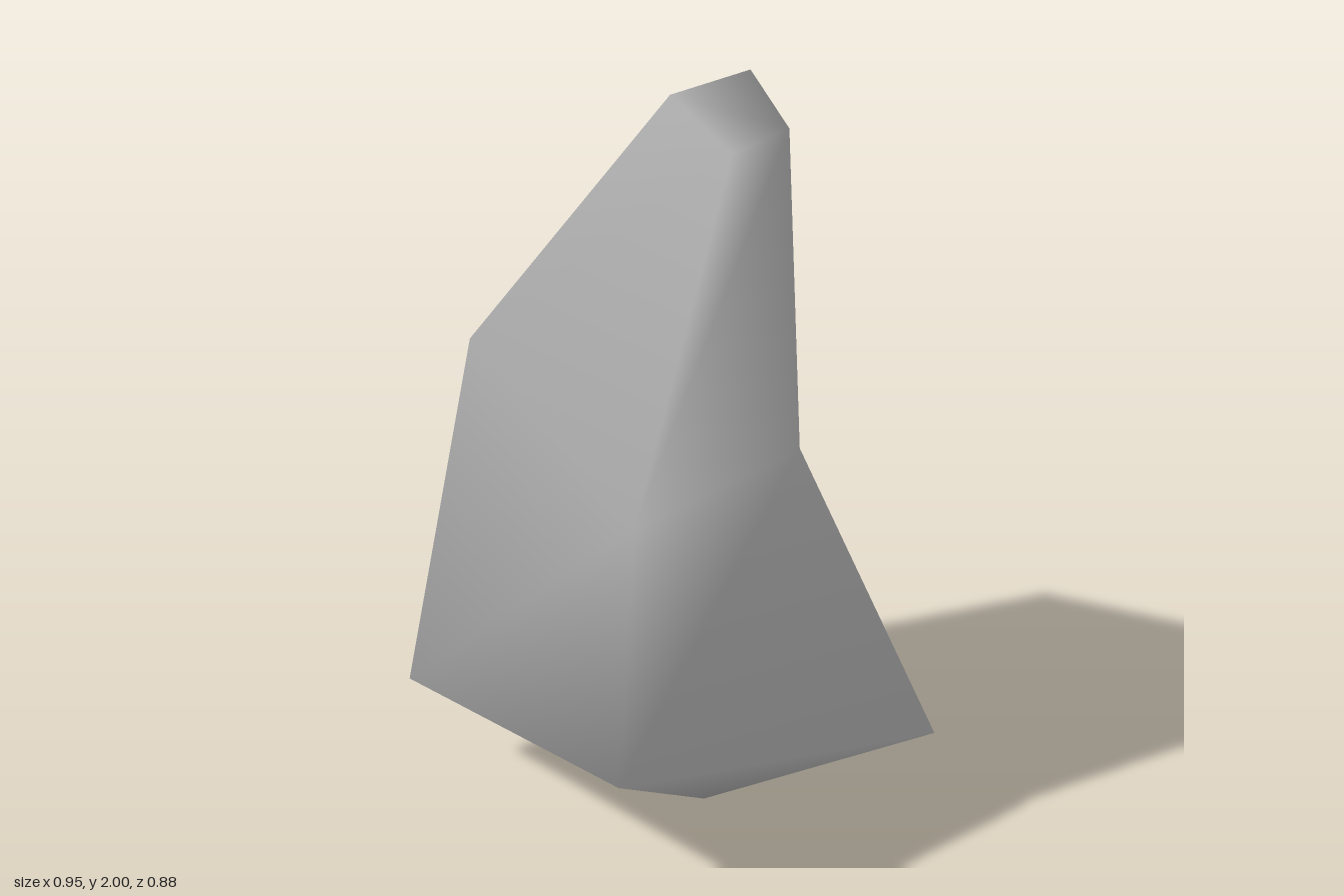
import * as THREE from 'three';

// Cross-sections from the base up; corners run front right side, front left side, back left side, back right side
const sections = [
  [[-0.475, 0.32, 0.435], [0.405, 0.57, 0.44], [0.475, 0.33, -0.44], [-0.41, 0.09, -0.445]],
  [[-0.305, 1.32, 0.315], [0.3, 1.14, 0.315], [0.26, 1.13, -0.17], [-0.305, 1.32, -0.318]],
  [[0.138, 2, 0.097], [0.335, 1.945, 0.097], [0.32, 1.95, -0.06], [0.138, 2, -0.108]],
];
const lowestPoint = [0.03, 0, -0.095];

export function createModel() {
  const group = new THREE.Group();
  group.name = 'rock';
  const stone = new THREE.MeshStandardMaterial({ color: 0xb4b4b4 });
  stone.name = 'grey stone';

  const positions = [...sections.flat(), lowestPoint].flat();
  const index = [];
  const apex = 12;
  for (let i = 0; i < 4; i++) {
    const j = (i + 1) % 4;
    // pointed underside
    index.push(apex, j, i);
    // lower and upper walls
    for (const r of [0, 4]) {
      index.push(r + i, r + j, r + 4 + j, r + i, r + 4 + j, r + 4 + i);
    }
  }
  // small top facet
  index.push(8, 9, 10, 8, 10, 11);

  const geometry = new THREE.BufferGeometry();
  geometry.setAttribute('position', new THREE.Float32BufferAttribute(positions, 3));
  geometry.setIndex(index);
  geometry.computeVertexNormals(); // shared corners give smooth shading

  const body = new THREE.Mesh(geometry, stone);
  body.name = 'rockBody';
  group.add(body);
  return group;
}
